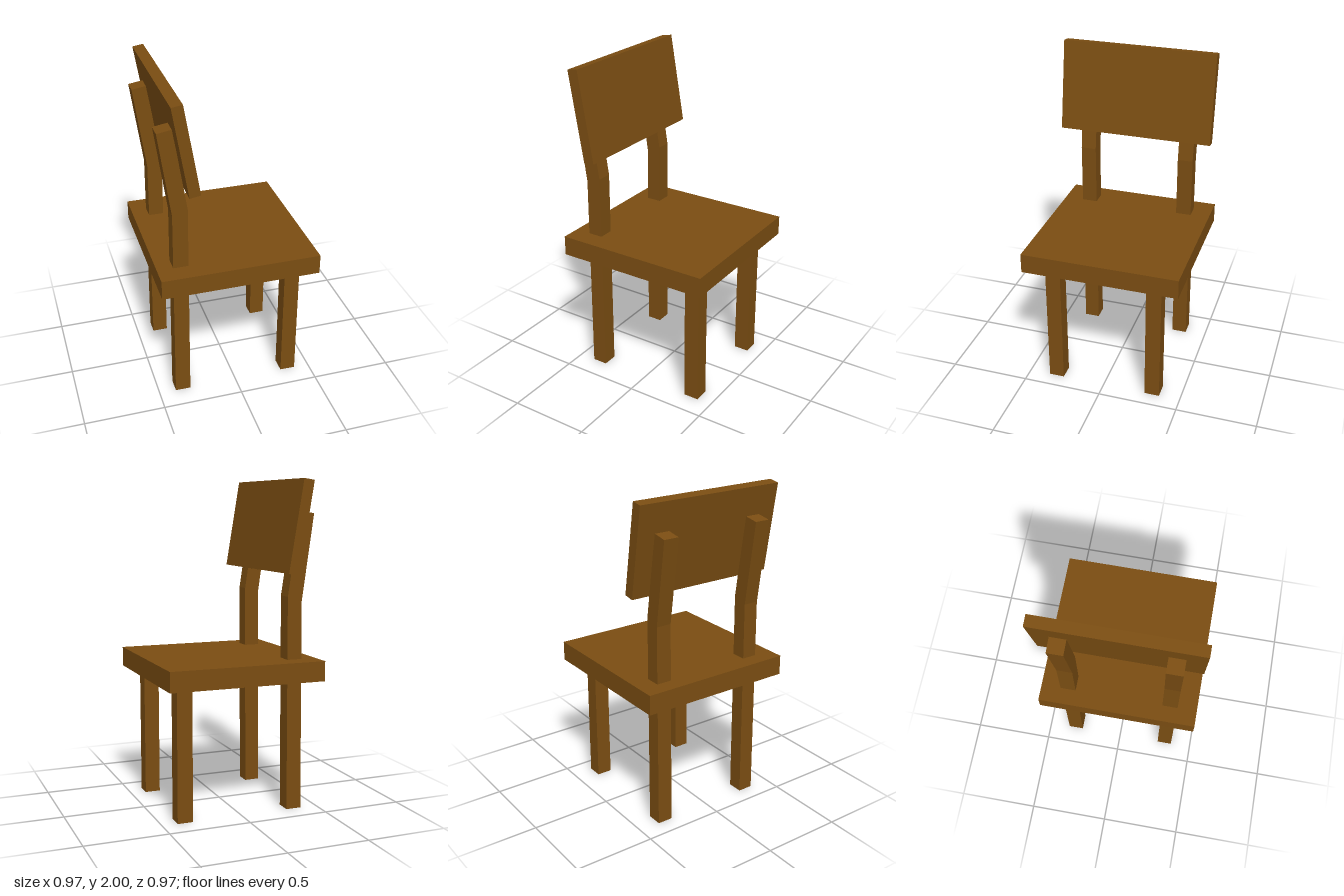
import * as THREE from 'three';

const wood = new THREE.MeshStandardMaterial({ color: 0x7a4d12, flatShading: true });

// Side outline (x, y) extruded across z, centred on the given z
function slab(name, outline, width, z = 0) {
  const shape = new THREE.Shape(outline.map(([x, y]) => new THREE.Vector2(x, y)));
  const geometry = new THREE.ExtrudeGeometry(shape, { depth: width, bevelEnabled: false });
  geometry.translate(0, 0, z - width / 2);
  const mesh = new THREE.Mesh(geometry, wood);
  mesh.name = name;
  return mesh;
}

function box(name, w, h, d, x, y, z) {
  const mesh = new THREE.Mesh(new THREE.BoxGeometry(w, h, d), wood);
  mesh.name = name;
  mesh.position.set(x, y, z);
  return mesh;
}

export function createModel() {
  const chair = new THREE.Group();
  chair.name = 'chair';

  // Seat board
  chair.add(box('seat', 0.972, 0.122, 0.972, 0, 0.87, 0));

  // Straight front legs and rear posts that bend backward above the seat
  const postOutline = [
    [-0.395, 0], [-0.3, 0], [-0.293, 1.31], [-0.37, 1.815], [-0.459, 1.8], [-0.385, 1.28],
  ];
  for (const side of [-1, 1]) {
    const suffix = side > 0 ? 'Left' : 'Right';
    chair.add(box('frontLeg' + suffix, 0.095, 0.81, 0.095, 0.358, 0.405, side * 0.319));
    chair.add(slab('rearPost' + suffix, postOutline, 0.095, side * 0.319));
  }

  // Tilted back panel fixed to the front of the posts
  const panelOutline = [[-0.31, 1.443], [-0.244, 1.454], [-0.335, 2], [-0.401, 1.99]];
  chair.add(slab('backPanel', panelOutline, 0.958));

  return chair;
}
